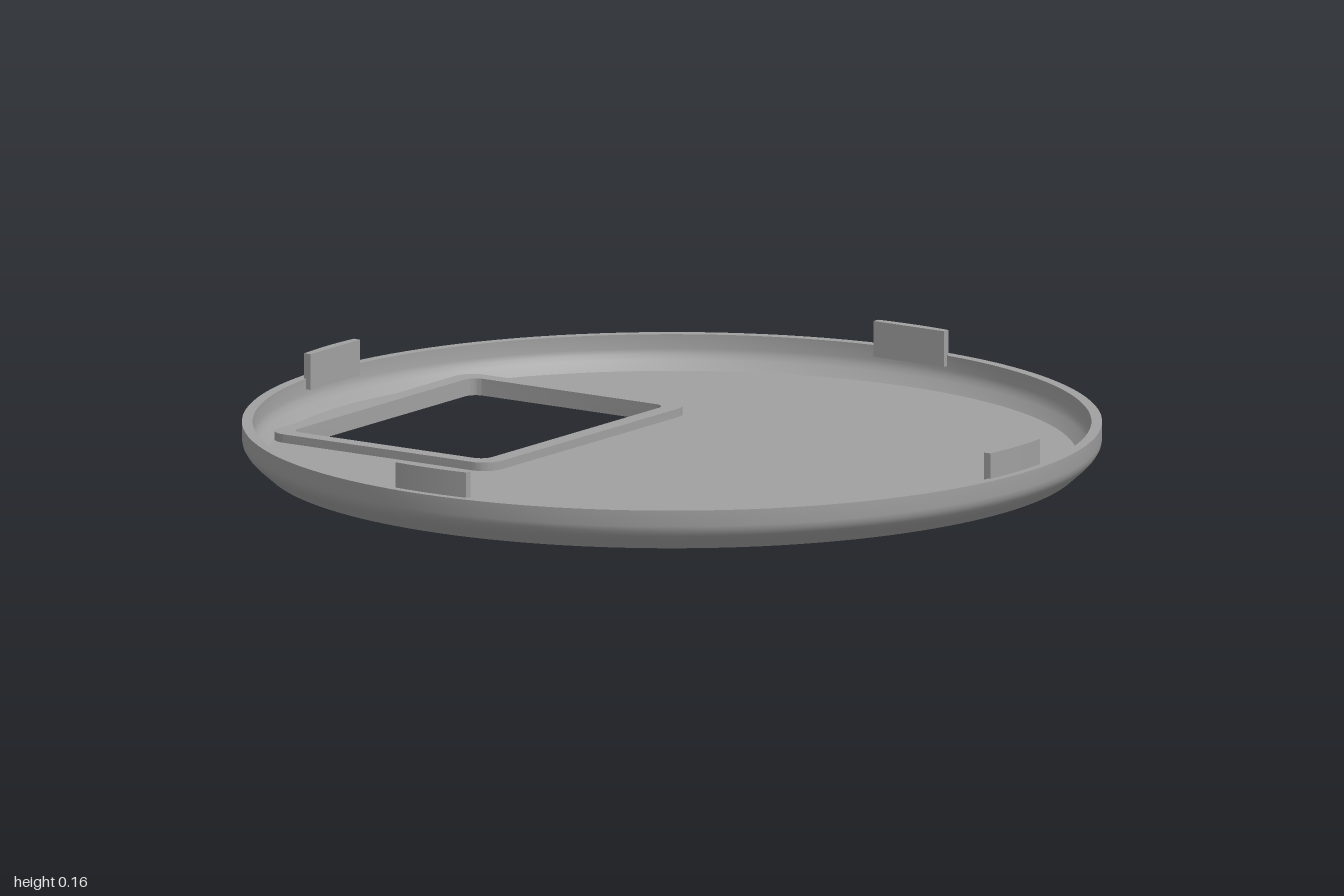
import * as THREE from 'three';
import { toCreasedNormals } from 'three/addons/utils/BufferGeometryUtils.js';

const SEGMENTS = 128;

// Rounded rectangle path centred on (cx, cy)
function roundedRect(path, cx, cy, w, h, r) {
  const x0 = cx - w / 2, x1 = cx + w / 2, y0 = cy - h / 2, y1 = cy + h / 2;
  path.moveTo(x0 + r, y0);
  path.lineTo(x1 - r, y0);
  path.absarc(x1 - r, y0 + r, r, -Math.PI / 2, 0);
  path.lineTo(x1, y1 - r);
  path.absarc(x1 - r, y1 - r, r, 0, Math.PI / 2);
  path.lineTo(x0 + r, y1);
  path.absarc(x0 + r, y1 - r, r, Math.PI / 2, Math.PI);
  path.lineTo(x0, y0 + r);
  path.absarc(x0 + r, y0 + r, r, Math.PI, Math.PI * 1.5);
  return path;
}

// Extrude a plan shape upward from y0 to y1 (shape y becomes -z)
function slab(shape, y0, y1, curveSegments) {
  const g = new THREE.ExtrudeGeometry(shape, { depth: y1 - y0, bevelEnabled: false, curveSegments });
  g.rotateX(-Math.PI / 2);
  g.translate(0, y0, 0);
  return toCreasedNormals(g, 0.5);
}

export function createModel() {
  const group = new THREE.Group();
  const grey = new THREE.MeshStandardMaterial({ color: 0xa0a0a0 });
  grey.name = 'grey';
  const add = (name, geometry) => {
    const mesh = new THREE.Mesh(geometry, grey);
    mesh.name = name;
    group.add(mesh);
    return mesh;
  };
  const windowHole = () => roundedRect(new THREE.Path(), 0, 0.55, 0.735, 0.55, 0.03);

  // Floor disc with the window cut out
  const floor = new THREE.Shape();
  floor.absarc(0, 0, 0.942, 0, Math.PI * 2);
  floor.holes.push(windowHole());
  add('floor', slab(floor, 0, 0.02, SEGMENTS / 2));

  // Raised frame around the window
  const frame = roundedRect(new THREE.Shape(), 0, 0.55, 0.815, 0.635, 0.05);
  frame.holes.push(windowHole());
  add('windowFrame', slab(frame, 0.02, 0.04, 8));

  // Curved rim: underside, outer wall, lip, inner wall
  const profile = [
    [0.942, 0], [0.95, 0], [0.975, 0.022], [0.99, 0.037], [0.998, 0.05], [1, 0.062], [1, 0.1],
    [0.975, 0.1], [0.975, 0.066], [0.972, 0.054], [0.964, 0.042], [0.942, 0.02],
  ].map(([x, y]) => new THREE.Vector2(x, y));
  add('rim', toCreasedNormals(new THREE.LatheGeometry(profile, SEGMENTS), 0.5));

  // Four clip tabs: flat inside, following the rim outside
  const tab = new THREE.Shape();
  const a = Math.asin(0.1 / 0.98);
  tab.moveTo(0.957, -0.1);
  tab.lineTo(0.98 * Math.cos(a), -0.1);
  tab.absarc(0, 0, 0.98, -a, a);
  tab.lineTo(0.957, 0.1);
  tab.closePath();
  const tabGeometry = slab(tab, 0.075, 0.16, 8);
  for (let i = 0; i < 4; i++) add('clipTab' + (i + 1), tabGeometry).rotation.y = i * Math.PI / 2;

  return group;
}
